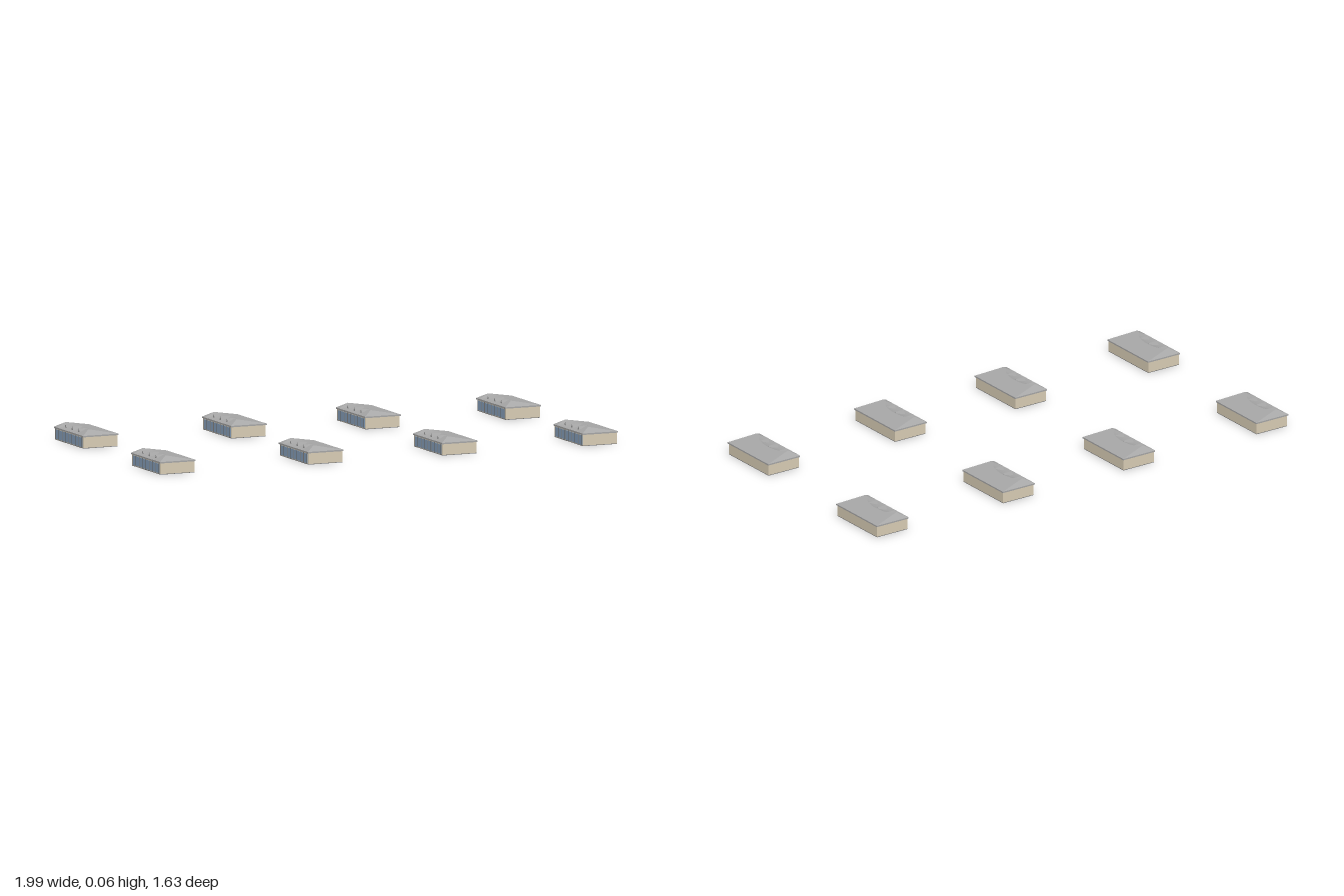
import * as THREE from 'three';

const W = 0.136, L = 0.245, HX = W / 2, HZ = L / 2;
const EAVE = 0.045, RISE = 0.018, RIDGE_X = -0.035, HIP = 0.027;

const mat = (color, extra = {}) => new THREE.MeshStandardMaterial({ color, ...extra });
const beige = mat(0xd8ccb4), grey = mat(0xa6a6a6), glass = mat(0x8aa4c0), dark = mat(0x777777);
const roofMat = mat(0xa6a6a6, { flatShading: true, side: THREE.DoubleSide });

function part(parent, name, geometry, material, x = 0, y = 0, z = 0) {
  const m = new THREE.Mesh(geometry, material);
  m.name = name;
  m.position.set(x, y, z);
  parent.add(m);
  return m;
}
const box = (w, h, d) => new THREE.BoxGeometry(w, h, d);

// One roof cross-section: eave, curved scoop, its upper edge, ridge, eave
function roofSection(z) {
  const t = Math.min(1, (HZ - Math.abs(z)) / HIP);
  const u = (z + 0.012) / 0.083;
  const bite = Math.abs(u) < 1 ? Math.sqrt(1 - u * u) : 0;
  const edgeX = -HX + (RIDGE_X + HX) * t + 0.03 * bite;
  const crestX = Math.max(edgeX, HX + (RIDGE_X - HX) * t);
  const slopeY = x => EAVE + RISE * Math.min(t, (HX - x) / (HX - RIDGE_X));
  const edgeY = slopeY(edgeX);
  const points = [];
  for (let i = 0; i <= 5; i++) {
    const s = i / 5;
    points.push([-HX + (edgeX + HX) * s, EAVE + (edgeY - EAVE) * Math.pow(s, 1 + 1.2 * bite), z]);
  }
  points.push([crestX, slopeY(crestX), z], [HX, EAVE, z]);
  return points;
}

// Hipped roof with a curved bite out of its short slope
function roofGeometry() {
  const stations = [-HZ];
  for (let i = 0; i <= 28; i++) stations.push(-0.095 + 0.19 * i / 28);
  stations.push(HZ);
  const pos = [], index = [];
  stations.forEach(z => roofSection(z).forEach(p => pos.push(...p)));
  const n = 8;
  for (let j = 0; j < stations.length - 1; j++) {
    for (let i = 0; i < n - 1; i++) {
      const a = j * n + i, b = a + n;
      index.push(a, b, a + 1, a + 1, b, b + 1);
    }
  }
  const g = new THREE.BufferGeometry();
  g.setAttribute('position', new THREE.Float32BufferAttribute(pos, 3));
  g.setIndex(index);
  g.computeVertexNormals();
  return g;
}

function createBuilding(roof) {
  const b = new THREE.Group();
  b.name = 'building';

  // Floor, walls and eaves
  part(b, 'floor', box(W - 0.006, 0.002, L - 0.006), dark, 0, 0.001, 0);
  part(b, 'walls', box(W - 0.006, 0.038, L - 0.006), beige, 0, 0.021, 0);
  part(b, 'eaves', box(W, 0.005, L), grey, 0, EAVE - 0.0026, 0);
  part(b, 'roof', roof, roofMat);

  // Glazed side with posts
  part(b, 'glazing', box(0.002, 0.033, L - 0.02), glass, -HX + 0.0025, 0.0205, 0);
  for (let i = 0; i <= 8; i++) {
    part(b, 'windowPost', box(0.002, 0.036, 0.0025), dark, -HX + 0.0015, 0.021, -0.11 + i * 0.0275);
  }

  // Small peaked dormers in the scoop
  for (const z of [-0.07, -0.014, 0.041]) {
    const shape = new THREE.Shape();
    shape.moveTo(-0.008, 0);
    shape.lineTo(0.008, 0);
    shape.lineTo(0, 0.013);
    shape.closePath();
    const g = new THREE.ExtrudeGeometry(shape, { depth: 0.036, bevelEnabled: false });
    g.rotateY(Math.PI / 2);
    part(b, 'dormer', g, grey, -0.047, 0.046, z);
  }
  return b;
}

export function createModel() {
  const model = new THREE.Group();
  model.name = 'buildingCluster';
  const roof = roofGeometry();
  const places = [
    [-0.55, -0.68], [-0.05, -0.412], [0.403, -0.17], [0.875, 0.085],
    [-0.88, -0.095], [-0.38, 0.172], [0.072, 0.415], [0.543, 0.672],
  ];
  for (const [x, z] of places) {
    const b = createBuilding(roof);
    b.position.set(x, 0, z);
    b.rotation.y = -0.495;
    model.add(b);
  }
  return model;
}
